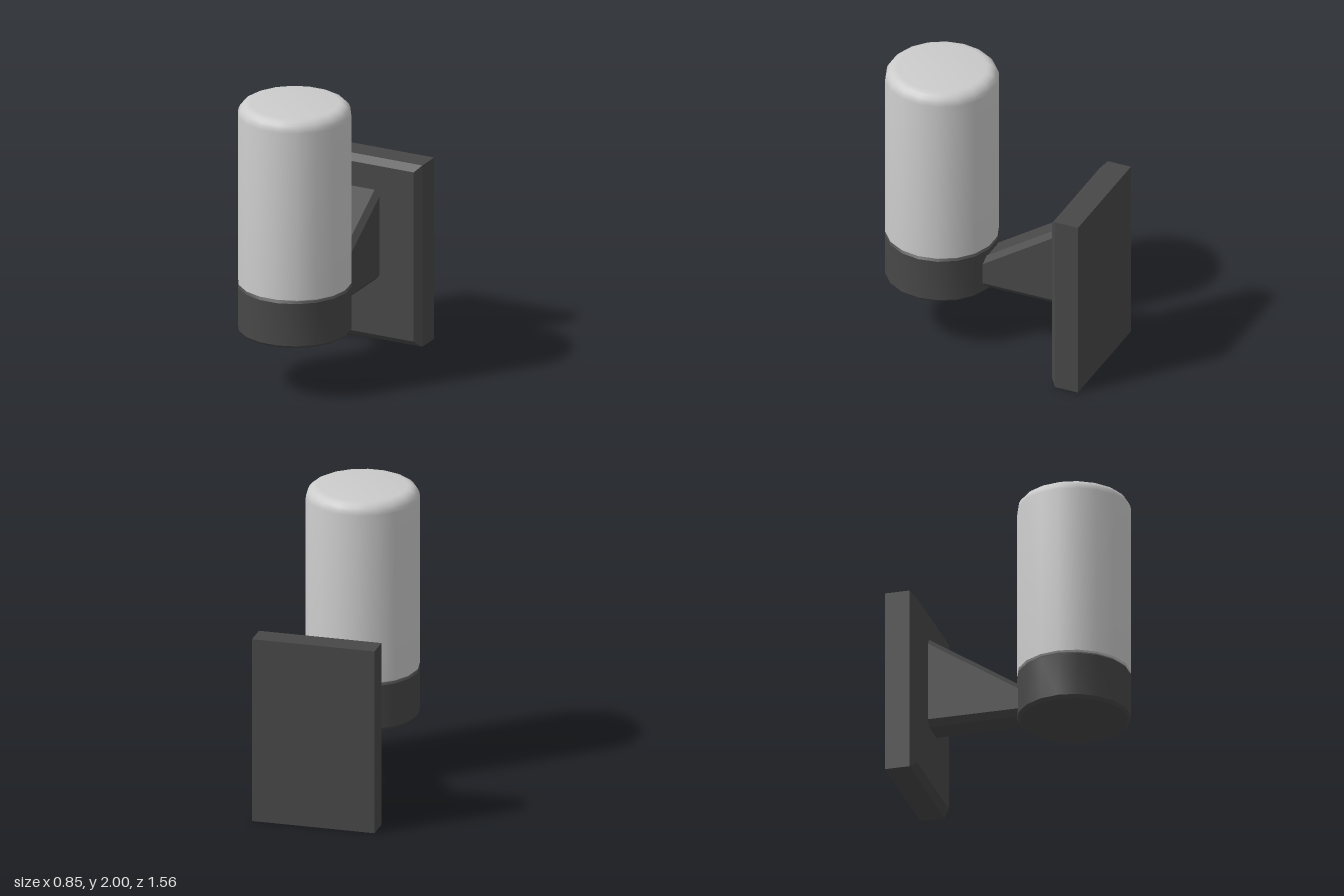
import * as THREE from 'three';
import { toCreasedNormals } from 'three/addons/utils/BufferGeometryUtils.js';

const LAMP_Z = 0.405;
const dark = new THREE.MeshStandardMaterial({ color: 0x484848 });
const light = new THREE.MeshStandardMaterial({ color: 0xcccccc });

function part(name, geometry, material) {
  const mesh = new THREE.Mesh(geometry, material);
  mesh.name = name;
  return mesh;
}

// 18-sided turned body with smooth sides and crisp chamfers
function turned(name, points, material) {
  const profile = points.map(([r, y]) => new THREE.Vector2(r, y));
  const lathe = new THREE.LatheGeometry(profile, 18, Math.PI / 2);
  const mesh = part(name, toCreasedNormals(lathe, 0.6), material);
  mesh.position.z = LAMP_Z;
  return mesh;
}

// Prism along z through rings of corners (counter-clockwise seen from +z), back to front
function loft(rings) {
  const n = rings[0].length;
  const index = [];
  for (let r = 0; r < rings.length - 1; r++) {
    for (let i = 0; i < n; i++) {
      const a = r * n + i, b = r * n + (i + 1) % n;
      index.push(a, b, b + n, a, b + n, a + n);
    }
  }
  const last = (rings.length - 1) * n;
  for (let i = 1; i < n - 1; i++) {
    index.push(0, i + 1, i, last, last + i, last + i + 1);
  }
  const geometry = new THREE.BufferGeometry();
  geometry.setAttribute('position', new THREE.Float32BufferAttribute(rings.flat(2), 3));
  geometry.setIndex(index);
  return toCreasedNormals(geometry, 0.3);
}

// Rectangle ring
const rect = (w, y0, y1, z) => [[-w, y0, z], [w, y0, z], [w, y1, z], [-w, y1, z]];

// Rectangle ring with cut corners; the top edge follows the arm's slope
function armRing(z) {
  const w = 0.125, cx = 0.037, cy = 0.042, y0 = 0.43;
  const y1 = 1.07 - 0.656 * (z + 0.57);
  return [
    [-w + cx, y0, z], [w - cx, y0, z], [w, y0 + cy, z], [w, y1 - cy, z],
    [w - cx, y1, z], [-w + cx, y1, z], [-w, y1 - cy, z], [-w, y0 + cy, z],
  ];
}

export function createModel() {
  const model = new THREE.Group();
  model.name = 'wallLamp';

  // Wall plate with chamfered front edges
  model.add(part('wallPlate', loft([
    rect(0.423, 0, 1.287, -0.78),
    rect(0.423, 0, 1.287, -0.612),
    rect(0.381, 0.043, 1.244, -0.57),
  ]), dark));

  // Tapered bracket, its ends sunk into the plate and the holder
  model.add(part('bracketArm', loft([armRing(-0.59), armRing(0.12)]), dark));

  // Lamp holder
  model.add(turned('lampHolder', [
    [0, 0.392], [0.36, 0.392], [0.38, 0.412], [0.38, 0.712], [0.36, 0.732], [0, 0.732],
  ], dark));

  // Shade with a rounded top
  const shade = [[0, 0.728], [0.372, 0.728], [0.38, 0.736]];
  const round = 0.08;
  for (let i = 0; i <= 5; i++) {
    const a = (i / 5) * Math.PI / 2;
    shade.push([0.38 - round + round * Math.cos(a), 2 - round + round * Math.sin(a)]);
  }
  shade.push([0, 2]);
  model.add(turned('lampShade', shade, light));

  return model;
}
